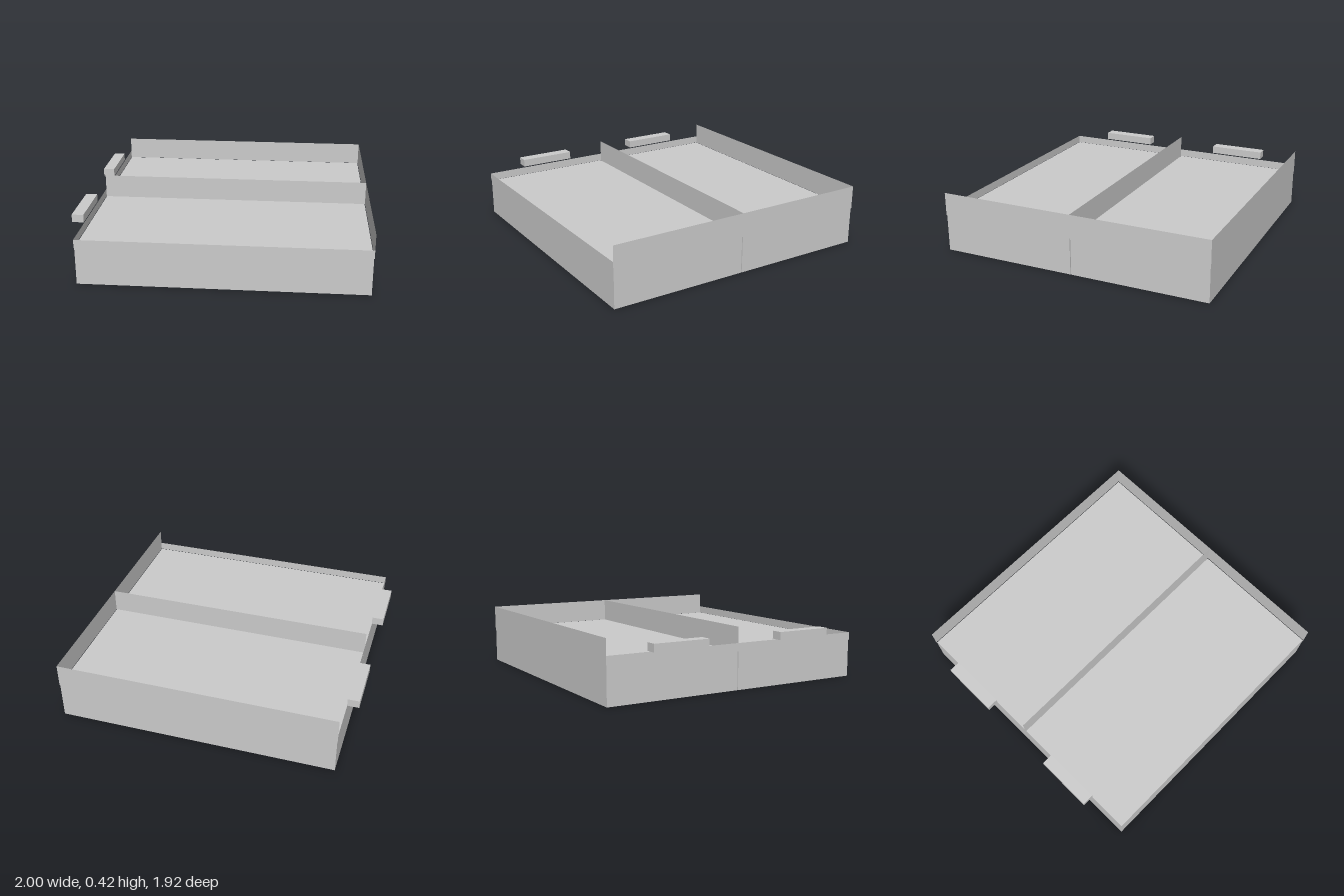
import * as THREE from 'three';

const material = new THREE.MeshStandardMaterial({ color: 0xcccccc, flatShading: true });
const wallMaterial = new THREE.MeshStandardMaterial({ color: 0xcccccc, flatShading: true, side: THREE.DoubleSide });

const X0 = -0.92, X1 = 1, DEPTH = 0.96;     // outline of one tray
const FLOOR = 0.257, LOW = 0.313, HIGH = 0.42; // floor and rim heights
const GAP = 0.003;                           // base sits just inside its walls

function box(name, x0, x1, y0, y1, z0, z1) {
  const mesh = new THREE.Mesh(new THREE.BoxGeometry(x1 - x0, y1 - y0, z1 - z0), material);
  mesh.position.set((x0 + x1) / 2, (y0 + y1) / 2, (z0 + z1) / 2);
  mesh.name = name;
  return mesh;
}

// Thin upright sheet rising from the floor level to the given height
function wall(name, length, top, x, z, turn) {
  const mesh = new THREE.Mesh(new THREE.PlaneGeometry(length, top - FLOOR), wallMaterial);
  mesh.position.set(x, (top + FLOOR) / 2, z);
  mesh.rotation.y = turn;
  mesh.name = name;
  return mesh;
}

function tray(name, z) {
  const group = new THREE.Group();
  group.name = name;
  group.position.z = z;
  const h = DEPTH / 2, midX = (X0 + X1) / 2, width = X1 - X0;
  group.add(
    box('base', X0 + GAP, X1 - GAP, 0, FLOOR, -h + GAP, h - GAP),
    wall('frontWall', width, LOW, midX, h, 0),
    wall('backWall', width, HIGH, midX, -h, Math.PI),
    wall('leftWall', DEPTH, HIGH, X1, 0, Math.PI / 2),
    wall('rightWall', DEPTH, LOW, X0, 0, -Math.PI / 2),
    // Bar handle on the low side
    box('handle', -1, X0, 0.32, 0.374, -0.2, 0.2)
  );
  return group;
}

export function createModel() {
  const model = new THREE.Group();
  model.name = 'doubleTray';
  model.add(tray('frontTray', DEPTH / 2), tray('backTray', -DEPTH / 2));
  return model;
}
